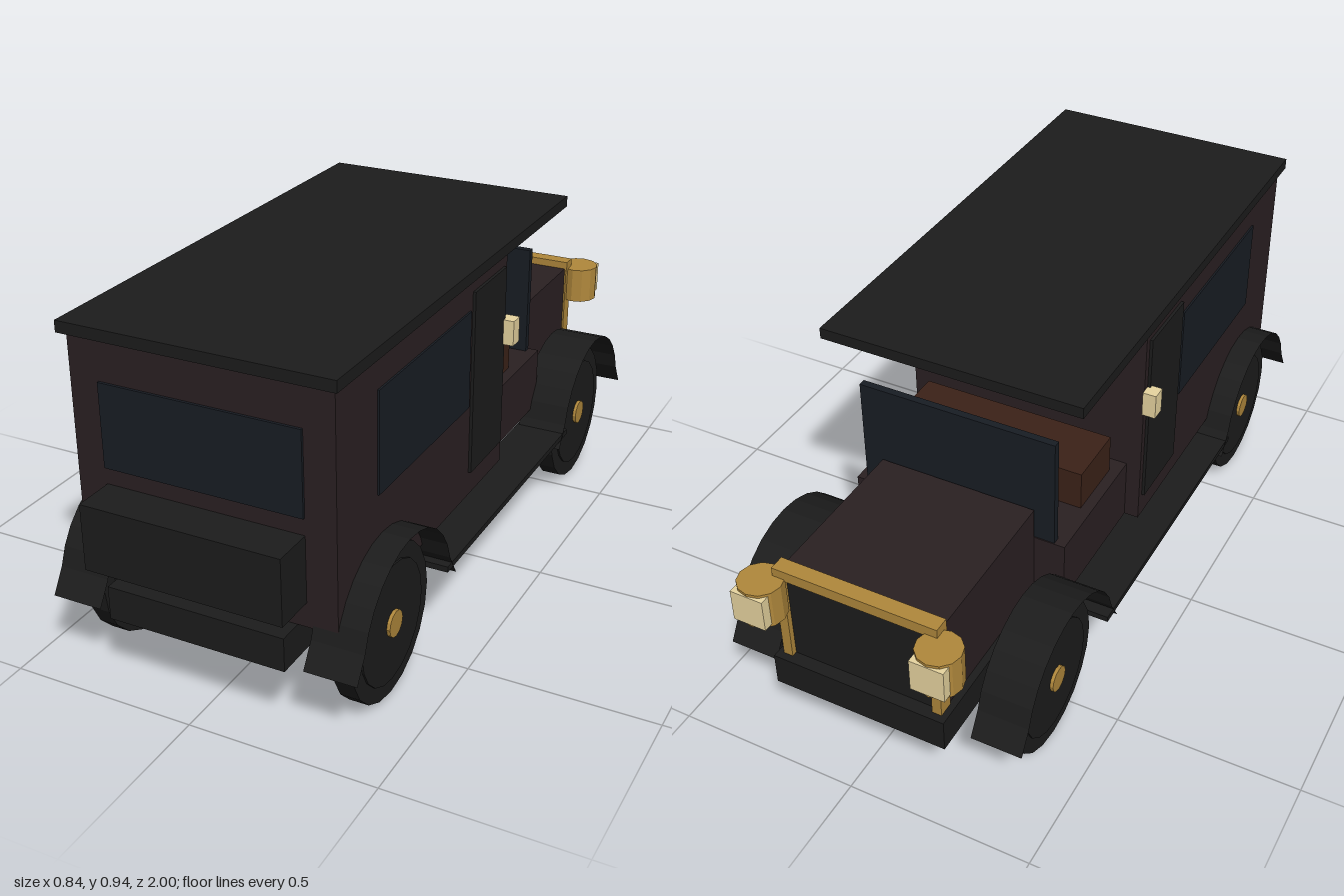
import * as THREE from 'three';

const material = (color, side = THREE.FrontSide) =>
  new THREE.MeshStandardMaterial({ color, side, flatShading: true });

export function createModel() {
  const car = new THREE.Group();
  car.name = 'vintageCar';

  const black = material(0x1c1c1c);
  const sheet = material(0x1c1c1c, THREE.DoubleSide);
  const paint = material(0x2a2022);
  const glass = material(0x181d24);
  const brass = material(0xb0883c);
  const cream = material(0xe8d5a0);
  const leather = material(0x3c2218);

  const add = (name, geometry, mat, parent = car) => {
    const mesh = new THREE.Mesh(geometry, mat);
    mesh.name = name;
    parent.add(mesh);
    return mesh;
  };
  // Box given by its limits on each axis
  const box = (name, mat, [x0, x1], [y0, y1], [z0, z1]) => {
    const mesh = add(name, new THREE.BoxGeometry(x1 - x0, y1 - y0, z1 - z0), mat);
    mesh.position.set((x0 + x1) / 2, (y0 + y1) / 2, (z0 + z1) / 2);
    return mesh;
  };
  // Pair of boxes mirrored in x
  const pair = (name, mat, [x0, x1], y, z) => {
    box(name + 'Left', mat, [x0, x1], y, z);
    box(name + 'Right', mat, [-x1, -x0], y, z);
  };

  // Chassis, cabin and hood (the hood points to -z)
  box('chassis', black, [-0.24, 0.24], [0.2, 0.29], [-0.935, 0.955]);
  box('cabin', paint, [-0.345, 0.345], [0.29, 0.905], [-0.055, 0.89]);
  box('roof', black, [-0.36, 0.36], [0.905, 0.935], [-0.455, 0.91]);
  box('driverCompartment', paint, [-0.305, 0.305], [0.29, 0.465], [-0.43, -0.055]);
  box('hood', paint, [-0.22, 0.22], [0.29, 0.555], [-0.87, -0.43]);
  box('seat', leather, [-0.275, 0.275], [0.465, 0.575], [-0.275, -0.1]);
  box('windshield', glass, [-0.275, 0.275], [0.465, 0.775], [-0.427, -0.407]);

  // Back window and trunk
  box('backWindow', glass, [-0.265, 0.265], [0.575, 0.795], [0.885, 0.897]);
  box('trunk', black, [-0.265, 0.265], [0.355, 0.53], [0.89, 1]);

  // Cabin sides
  pair('sideWindow', glass, [0.34, 0.35], [0.555, 0.82], [0.183, 0.695]);
  pair('door', black, [0.34, 0.353], [0.358, 0.865], [-0.036, 0.166]);
  pair('sideLantern', cream, [0.345, 0.382], [0.65, 0.72], [-0.066, -0.026]);
  pair('runningBoard', black, [0.275, 0.417], [0.23, 0.246], [-0.4, 0.45]);

  // Radiator with brass surround
  box('radiator', black, [-0.215, 0.215], [0.29, 0.55], [-0.9, -0.87]);
  box('radiatorTopBar', brass, [-0.225, 0.225], [0.545, 0.575], [-0.917, -0.875]);
  pair('radiatorPost', brass, [0.198, 0.224], [0.29, 0.548], [-0.915, -0.872]);

  // Headlamps
  for (const s of [-1, 1]) {
    const lamp = add('headlamp', new THREE.CylinderGeometry(0.058, 0.058, 0.105, 12), brass);
    lamp.position.set(s * 0.243, 0.498, -0.94);
    box('headlampGlass', cream, [s * 0.243 - 0.045, s * 0.243 + 0.045], [0.453, 0.543], [-1, -0.95]);
  }

  // Fender outline: an arc over the wheel with flared tips, as [along z, up]
  const outline = [[0.27, 0]];
  const steps = 12;
  for (let i = 0; i <= steps; i++) {
    const a = THREE.MathUtils.degToRad(15 + (150 * i) / steps);
    outline.push([0.24 * Math.cos(a), 0.24 * Math.sin(a)]);
  }
  outline.push([-0.27, 0]);
  const fenderGeometry = new THREE.PlaneGeometry(0.138, 1, 1, outline.length - 1);
  const p = fenderGeometry.attributes.position;
  for (let i = 0; i < p.count; i++) {
    const [z, y] = outline[Math.floor(i / 2)];
    p.setXYZ(i, p.getX(i), y, z);
  }
  fenderGeometry.computeVertexNormals();

  // Wheels and fenders
  const disc = (r, width, sides) => new THREE.CylinderGeometry(r, r, width, sides).rotateZ(Math.PI / 2);
  for (const [end, z] of [['front', -0.61], ['back', 0.67]]) {
    for (const [side, s] of [['Left', 1], ['Right', -1]]) {
      const wheel = new THREE.Group();
      wheel.name = end + side + 'Wheel';
      wheel.position.set(s * 0.343, 0.202, z);
      add('tire', disc(0.202, 0.052, 20), black, wheel);
      add('wheelDisc', disc(0.16, 0.062, 20), black, wheel);
      add('hub', disc(0.035, 0.08, 12), brass, wheel);
      car.add(wheel);
      const fender = add(end + side + 'Fender', fenderGeometry, sheet);
      fender.position.set(s * 0.349, 0.205, z);
    }
  }
  return car;
}
